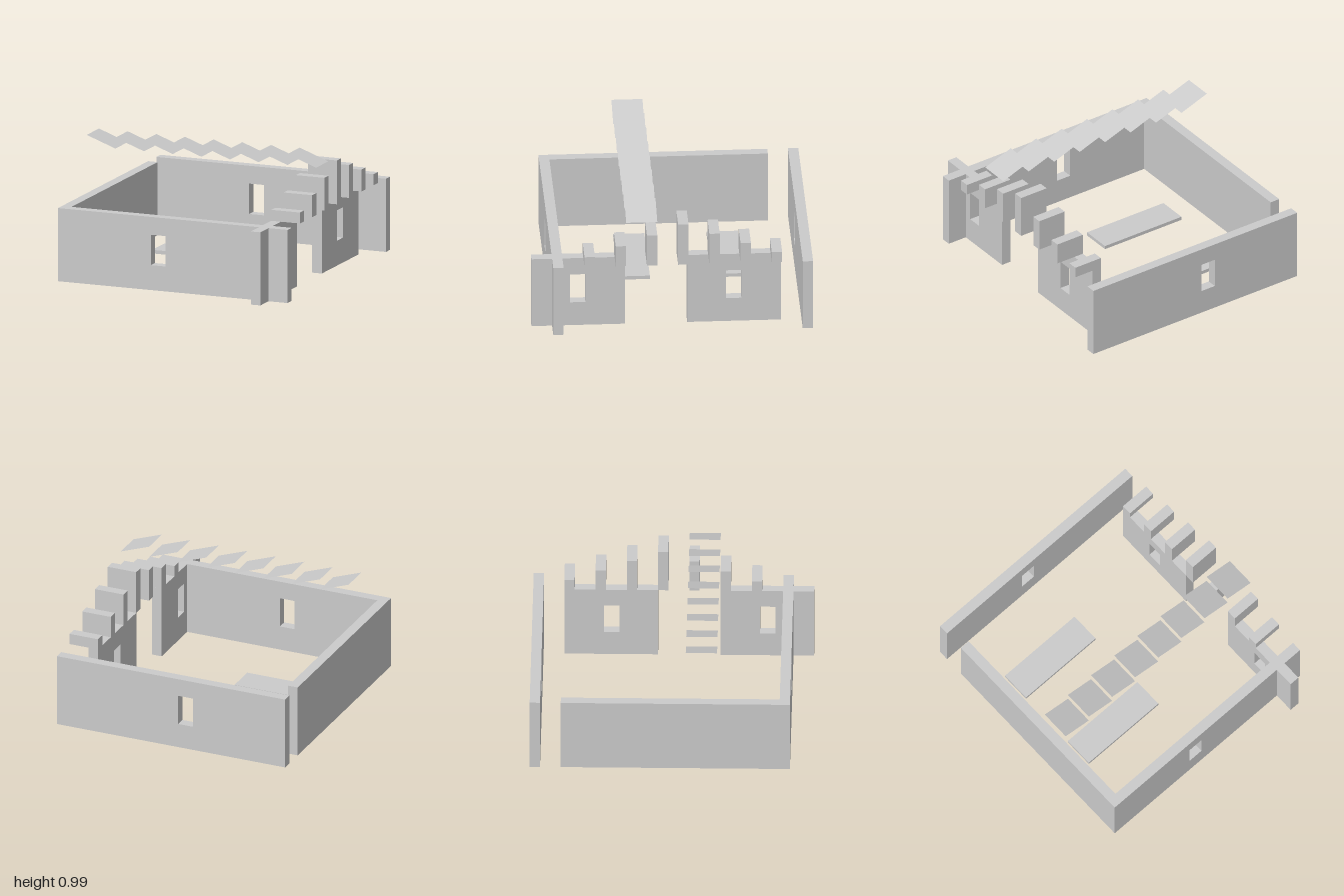
import * as THREE from 'three';

const BASE = 0.026, TOP = 0.56, THICK = 0.074;

export function createModel() {
  const model = new THREE.Group();
  const material = new THREE.MeshStandardMaterial({ color: 0xcccccc, flatShading: true });
  const slatMaterial = new THREE.MeshStandardMaterial({ color: 0xcccccc, side: THREE.DoubleSide });

  const add = (name, geometry, mat = material) => {
    const mesh = new THREE.Mesh(geometry, mat);
    mesh.name = name;
    model.add(mesh);
    return mesh;
  };

  // Box given by its two opposite corners
  const block = (name, x0, x1, y0, y1, z0, z1) =>
    add(name, new THREE.BoxGeometry(x1 - x0, y1 - y0, z1 - z0))
      .position.set((x0 + x1) / 2, (y0 + y1) / 2, (z0 + z1) / 2);

  // Wall from a to b along its length, with a window from w0 to w1
  const windowWall = (name, a, b, w0, w1) => {
    const shape = new THREE.Shape();
    shape.moveTo(a, BASE).lineTo(b, BASE).lineTo(b, TOP).lineTo(a, TOP).closePath();
    const hole = new THREE.Path();
    hole.moveTo(w0, 0.208).lineTo(w0, 0.43).lineTo(w1, 0.43).lineTo(w1, 0.208).closePath();
    shape.holes.push(hole);
    return add(name, new THREE.ExtrudeGeometry(shape, { depth: THICK, bevelEnabled: false }));
  };

  // Front and back walls
  windowWall('frontWall', -0.889, 0.889, -0.17, -0.056).position.z = 0.779;
  windowWall('backWall', -0.889, 0.889, -0.17, -0.056).position.z = -1;

  // Plain side wall
  block('rightSideWall', -0.889, -0.815, BASE, TOP, -0.779, 0.779);

  // Two wall pieces either side of the entrance; length runs along -z after turning
  const sides = [['entranceWallFront', -1, -0.333, -0.725, -0.615],
    ['entranceWallBack', 0.111, 0.779, 0.386, 0.497]];
  for (const [name, a, b, w0, w1] of sides) {
    const wall = windowWall(name, a, b, w0, w1);
    wall.rotation.y = Math.PI / 2;
    wall.position.x = 0.667;
  }

  // Row of blocks rising to the middle, carrying the gable line
  for (let i = 0; i < 7; i++) {
    const z = -0.779 + i * 0.2225;
    const height = 0.08 * (4 - Math.abs(i - 3));
    block('gableBlock', 0.667, 0.889, TOP, TOP + height, z, z + THICK);
  }

  // Floor slabs
  block('floorSlabBack', -0.667, 0, 0, BASE, -0.556, -0.333);
  block('floorSlabFront', -0.667, 0, 0, BASE, 0.111, 0.333);

  // Tilted roof slats
  const run = 0.222, drop = 0.08;
  for (let i = 0; i < 8; i++) {
    const geometry = new THREE.PlaneGeometry(Math.hypot(run, drop), run);
    geometry.rotateX(-Math.PI / 2).rotateZ(-Math.atan2(drop, run));
    add('roofSlat', geometry, slatMaterial).position.set(-0.889 + (i + 0.5) * run, 0.945, 0.222);
  }

  return model;
}
